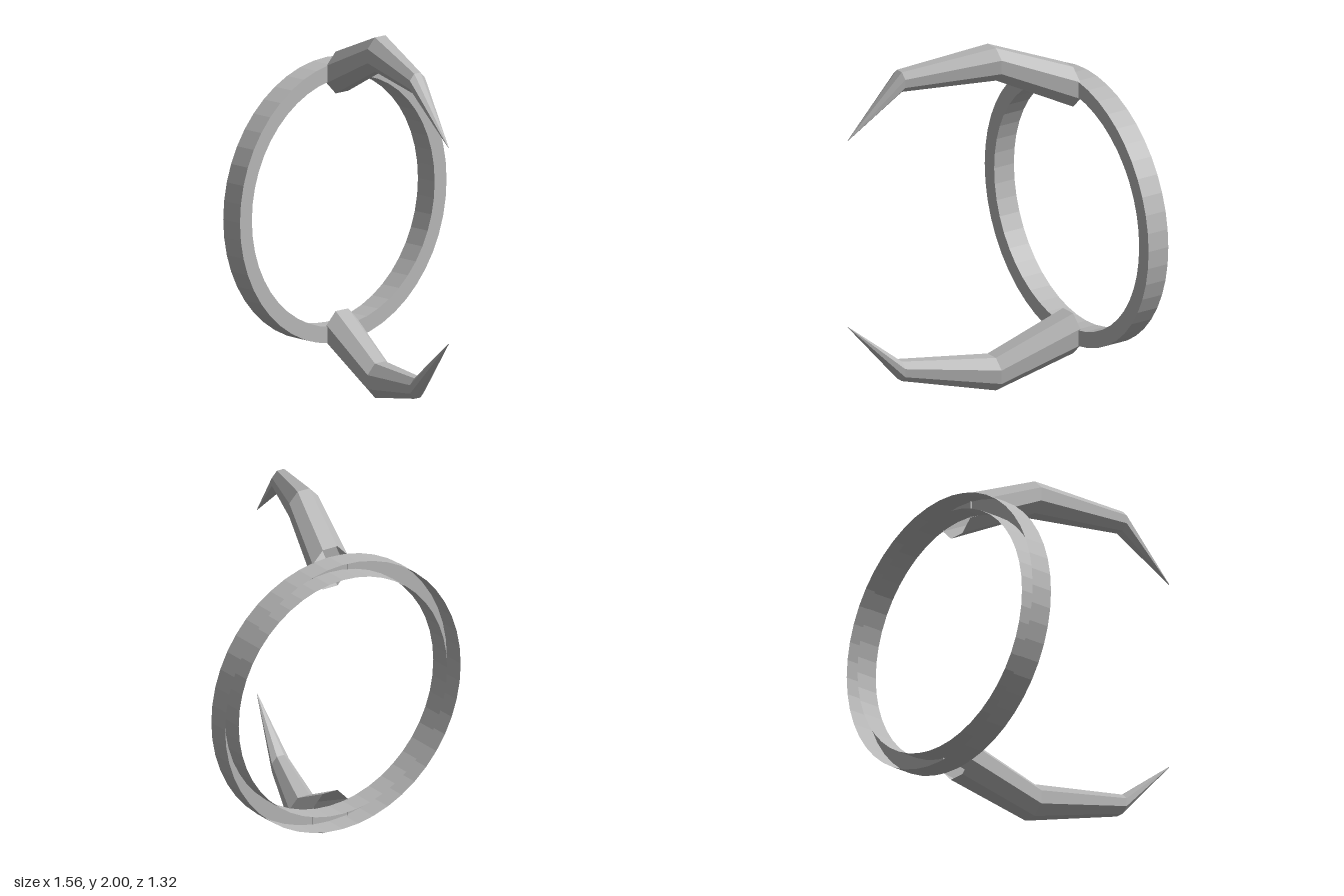
import * as THREE from 'three';

const SIDES = 8;

// Tapered, faceted claw through upright octagonal sections [x, height from ring centre, z, flat radius]
const SECTIONS = [
  [0, 0.72, -0.54, 0.116],
  [-0.12, 0.905, -0.12, 0.095],
  [-0.305, 0.845, 0.36, 0.057],
  [-0.362, 0.545, 0.66, 0.002],
];

function clawGeometry(side) {
  const positions = [];
  const index = [];
  SECTIONS.forEach(([x, h, z, flat], row) => {
    const r = flat / Math.cos(Math.PI / SIDES);
    for (let i = 0; i < SIDES; i++) {
      const a = ((i + 0.5) / SIDES) * Math.PI * 2;
      positions.push(x + r * Math.cos(a), 1 + side * (h + r * Math.sin(a)), z);
      if (row === 0) continue;
      const j = (i + 1) % SIDES;
      const a0 = (row - 1) * SIDES + i, b0 = (row - 1) * SIDES + j;
      const a1 = row * SIDES + i, b1 = row * SIDES + j;
      // mirrored claw needs the opposite corner order
      if (side > 0) index.push(a0, b0, b1, a0, b1, a1);
      else index.push(a0, b1, b0, a0, a1, b1);
    }
  });
  const geometry = new THREE.BufferGeometry();
  geometry.setAttribute('position', new THREE.Float32BufferAttribute(positions, 3));
  geometry.setIndex(index);
  geometry.computeVertexNormals();
  return geometry;
}

export function createModel() {
  const group = new THREE.Group();
  const grey = new THREE.MeshStandardMaterial({
    color: 0xb8b8b8, flatShading: true, side: THREE.DoubleSide,
  });
  grey.name = 'grey';

  // Channel-shaped ring: outer wall, front face, inner wall, open at the back
  const profile = [[0.78, -0.66], [0.78, -0.53], [0.69, -0.53], [0.69, -0.66]]
    .map(([r, z]) => new THREE.Vector2(r, z));
  const ringGeometry = new THREE.LatheGeometry(profile, 48);
  ringGeometry.rotateX(Math.PI / 2);
  const ring = new THREE.Mesh(ringGeometry, grey);
  ring.name = 'ring';
  ring.position.y = 1;
  group.add(ring);

  // Upper and lower claws, mirrored about the ring centre
  for (const [name, side] of [['upperClaw', 1], ['lowerClaw', -1]]) {
    const claw = new THREE.Mesh(clawGeometry(side), grey);
    claw.name = name;
    group.add(claw);
  }
  return group;
}
